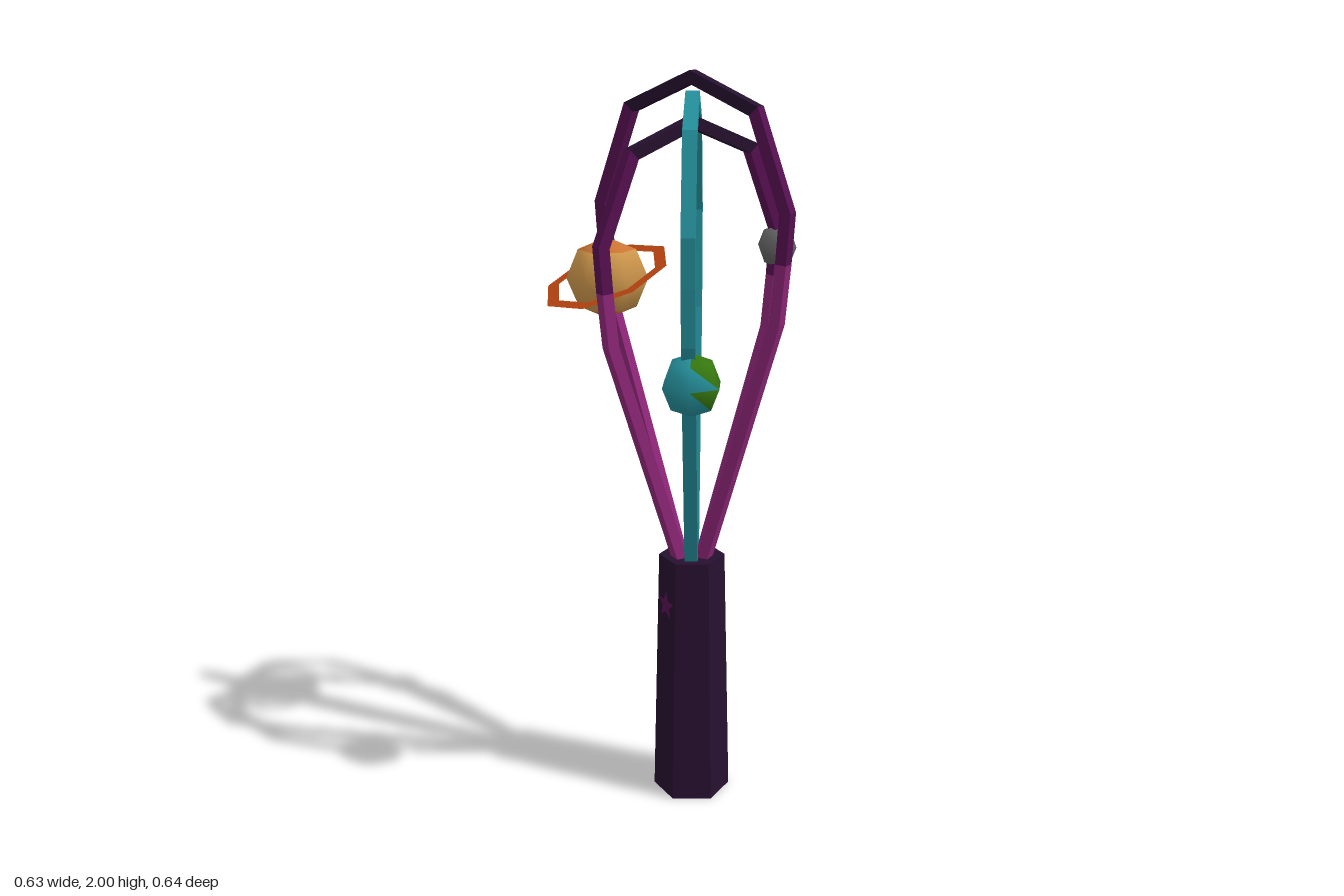
import * as THREE from 'three';

const mat = (name, color, side = THREE.FrontSide) => {
  const m = new THREE.MeshStandardMaterial({ color, side });
  m.name = name;
  return m;
};

export function createModel() {
  const model = new THREE.Group();
  const night = mat('nightPurple', 0x26102f);
  const plum = mat('plum', 0x571152);
  const magenta = mat('magenta', 0x8e2678);
  const teal = mat('teal', 0x258f9b);
  const green = mat('landGreen', 0x36780f);
  const tan = mat('planetTan', 0xce974c);
  const orange = mat('planetOrange', 0xcf7634);
  const rust = mat('ringRust', 0xb3420f, THREE.DoubleSide);
  const grey = mat('moonGrey', 0x626262);

  const add = (name, geo, material, parent = model) => {
    const mesh = new THREE.Mesh(geo, material);
    mesh.name = name;
    parent.add(mesh);
    return mesh;
  };

  // Whisk: handle and wires share one axis
  const whisk = new THREE.Group();
  whisk.name = 'whisk';
  whisk.position.set(-0.006, 0, 0.053);
  model.add(whisk);

  // Hexagonal tapered handle, faceted
  const H = 0.71, R0 = 0.107, R1 = 0.09;
  const handleGeo = new THREE.CylinderGeometry(R1, R0, H, 6).toNonIndexed();
  handleGeo.computeVertexNormals();
  add('handle', handleGeo, night, whisk).position.y = H / 2;

  // Thin stars on two handle faces
  const star = new THREE.Shape();
  for (let i = 0; i < 10; i++) {
    const a = Math.PI / 2 + i * Math.PI / 5, r = i % 2 ? 0.018 : 0.043;
    star[i ? 'lineTo' : 'moveTo'](r * Math.cos(a), r * Math.sin(a));
  }
  star.closePath();
  const starGeo = new THREE.ShapeGeometry(star);
  const slope = Math.atan((R0 - R1) * 0.866 / H);
  for (const [y, deg] of [[0.36, -150], [0.575, -90]]) {
    const a = THREE.MathUtils.degToRad(deg);
    const d = (R0 + (R1 - R0) * y / H) * 0.866 + 0.002;
    const s = add('star', starGeo, plum, whisk);
    s.position.set(d * Math.sin(a), y, d * Math.cos(a));
    s.rotation.set(-slope, a, 0, 'YXZ');
  }

  // Wire loops: outer outline, mirrored, thickened inwards with mitred corners
  const half = [[0.05, 0.69], [0.255, 1.35], [0.27, 1.5], [0.279, 1.625], [0.187, 1.87]];
  const T = 0.03, W = 0.036;
  const wireLoop = (name, scale, angle, runs) => {
    const loop = new THREE.Group();
    loop.name = name;
    loop.rotation.y = angle;
    whisk.add(loop);
    const outer = [...half, [0, 1.95], ...half.map(([x, y]) => [-x, y]).reverse()]
      .map(([x, y]) => new THREE.Vector2(x, 0.69 + (y - 0.69) * scale));
    const normal = (a, b) => new THREE.Vector2(a.y - b.y, b.x - a.x).normalize();
    const inner = outer.map((p, i) => {
      const n0 = normal(outer[Math.max(i - 1, 0)], outer[Math.max(i, 1)]);
      const last = outer.length - 1;
      const n1 = normal(outer[Math.min(i, last - 1)], outer[Math.min(i + 1, last)]);
      const m = n0.clone().add(n1).normalize();
      return p.clone().addScaledVector(m, T / m.dot(n0));
    });
    for (const [from, to, material] of runs) {
      const shape = new THREE.Shape([
        ...outer.slice(from, to + 1), ...inner.slice(from, to + 1).reverse()]);
      const geo = new THREE.ExtrudeGeometry(shape, { depth: W, bevelEnabled: false });
      geo.translate(0, 0, -W / 2);
      add('wire', geo, material, loop);
    }
  };
  const fade = [[0, 2, magenta], [2, 4, plum], [4, 6, night], [6, 8, plum], [8, 10, magenta]];
  wireLoop('lowWire', 0.952, 0, fade);
  wireLoop('middleWire', 1, 1.0, [[0, 10, teal]]);
  wireLoop('highWire', 1.04, -1.0, fade);

  // Low-poly globe; picks the second material for the listed triangles
  const globe = (name, r, materials, isSecond) => {
    const geo = new THREE.SphereGeometry(r, 6, 4);
    for (let i = 0; i < 36; i++) geo.addGroup(i * 3, 3, isSecond(i) ? 1 : 0);
    return add(name, geo, materials);
  };

  // Ringed planet with orange caps
  const ringed = globe('ringedPlanet', 0.11, [tan, orange], i => i < 6 || i >= 30);
  ringed.position.set(-0.14, 1.455, -0.168);
  ringed.rotation.y = Math.PI / 2;
  const ringGeo = new THREE.RingGeometry(0.15, 0.185, 8, 1);
  ringGeo.scale(1, 0.8, 1);
  ringGeo.rotateX(-Math.PI / 2);
  const ring = add('planetRing', ringGeo, rust);
  ring.position.set(-0.14, 1.46, -0.172);
  ring.rotation.set(0.13, 0, 0.37);

  // Blue planet with a green continent
  const land = [1, 2, 8, 10, 11, 20, 22, 23, 25];
  const blue = globe('bluePlanet', 0.082, [teal, green], i => land.includes(i));
  blue.position.set(-0.121, 1.25, 0.245);
  blue.rotation.y = -0.06;

  // Moon
  add('moon', new THREE.SphereGeometry(0.057, 6, 4), grey).position.set(0.257, 1.54, 0.053);

  return model;
}
